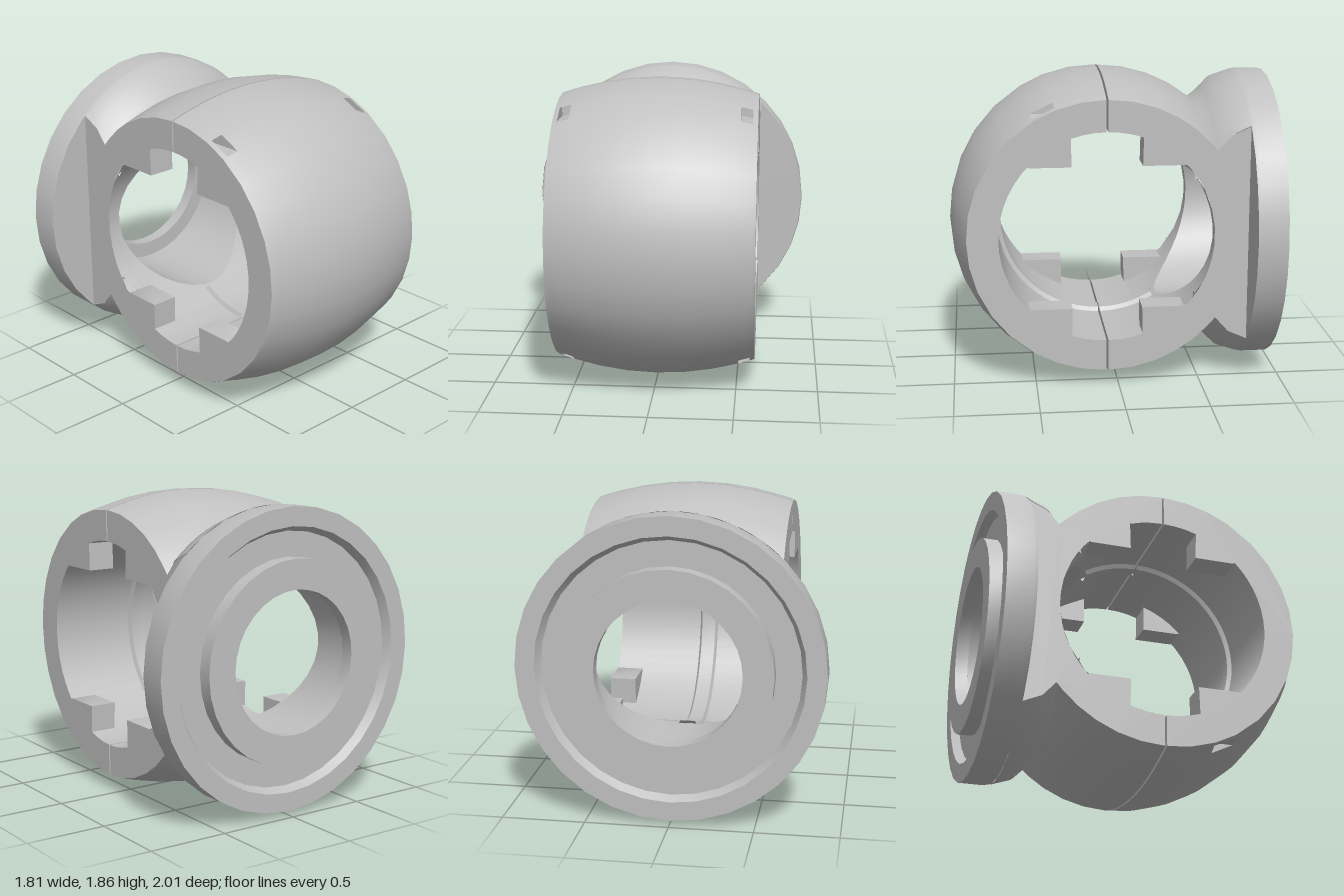
import * as THREE from 'three';
import { toCreasedNormals } from 'three/addons/utils/BufferGeometryUtils.js';

const HALF = 0.61;    // half width of the clamp along x
const BORE = 0.64;    // bore radius
const CHAMBER = 0.53; // radius of the hollow neck
const HOLE = 0.43;    // radius of the rear opening
const GAP = 0.006;    // half of the split between both clamp halves
const SEAT_Y = 0.6;   // half height of the rear seat patch
const LUG = 0.17;     // length of the lugs along x
const rad = THREE.MathUtils.degToRad;
const outerR = (x) => 0.93 - 0.1 * (x / HALF) ** 2;
const steps = (from, to, n) => Array.from({ length: n + 1 }, (_, i) => from + ((to - from) * i) / n);

// Surface over two lists of parameters; cells can be left open
function grid(us, vs, fn, skip = () => false) {
  const pos = [], idx = [], n = vs.length;
  us.forEach((u) => vs.forEach((v) => pos.push(...fn(u, v))));
  for (let i = 0; i < us.length - 1; i++) {
    for (let j = 0; j < n - 1; j++) {
      if (skip(us[i], us[i + 1], vs[j], vs[j + 1])) continue;
      const a = i * n + j, b = a + n;
      idx.push(a, b, a + 1, b, b + 1, a + 1);
    }
  }
  const g = new THREE.BufferGeometry();
  g.setAttribute('position', new THREE.Float32BufferAttribute(pos, 3));
  g.setIndex(idx);
  return g;
}

// Points (z, y) on an arc, angles in degrees
const arc = (r, from, to, n) =>
  steps(from, to, n).map((a) => [r * Math.cos(rad(a)), r * Math.sin(rad(a))]);
const toShape = (pts) => new THREE.Shape(pts.map(([z, y]) => new THREE.Vector2(z, y)));

export function createModel() {
  const grey = new THREE.MeshStandardMaterial({ color: 0xc0c0c0, side: THREE.DoubleSide });
  grey.name = 'light grey';
  const model = new THREE.Group();
  model.name = 'clampFitting';
  const body = new THREE.Group();
  body.name = 'body';
  body.position.set(0, 0.933, 0.07);
  model.add(body);
  const add = (name, geo, crease = 0.6) => {
    const mesh = new THREE.Mesh(toCreasedNormals(geo, crease), grey);
    mesh.name = name;
    body.add(mesh);
    return mesh;
  };

  const xs = [-HALF, -0.58, -0.51, -0.35, -0.18, 0, 0.18, 0.35, 0.51, 0.58, HALF];
  const shell = (side) => (a, x) => [
    x, outerR(x) * Math.sin(rad(a)), outerR(x) * Math.cos(rad(a)) + side * GAP,
  ];

  // Barrel-shaped outer shells, with four screw pockets at the front corners
  const quarter = [90, 80, 69, 59, 46, 34, 22, 11];
  const frontAngles = [...quarter, 0, ...quarter.map((a) => -a).reverse()];
  const isPocket = (a, b, x0, x1) =>
    Math.abs(a + b) === 128 && Math.abs(Math.abs(x0 + x1) - 1.09) < 0.01;
  add('frontShell', grid(frontAngles, xs, shell(1), isPocket));
  const rearAngles = [145, 138, 129, 120, 110, 100, 90];
  add('rearShellTop', grid(rearAngles, xs, shell(-1)));
  add('rearShellBottom', grid(rearAngles.map((a) => -a).reverse(), xs, shell(-1)));

  for (const sx of [-1, 1]) {
    for (const sy of [-1, 1]) {
      const rim = [[69, 0.51], [69, 0.58], [59, 0.58], [59, 0.51], [69, 0.51]]
        .map(([a, x]) => shell(1)(sy * a, sx * x));
      // Pocket walls, then a floor closing to the middle
      add('screwPocket', grid(rim, [0, 1, 2], ([x, y, z], v) =>
        v === 0 ? [x, y, z] : v === 1 ? [x, y, 0.22] : [sx * 0.545, sy * 0.76, 0.22]));
    }
  }

  // Round bore; the rear half leaves room for the seat patch
  const alongX = (list, side) => grid(list, side > 0 ? [HALF, -HALF] : [-HALF, HALF],
    ([z, y], x) => [x, y, side * (z + GAP)]);
  const seatAngle = THREE.MathUtils.radToDeg(Math.asin(SEAT_Y / BORE));
  const boreProfile = arc(BORE, 90, -90, 28);
  add('frontBore', alongX(boreProfile, 1));
  add('rearBoreTop', alongX(arc(BORE, 90, seatAngle, 4), -1));
  add('rearBoreBottom', alongX(arc(BORE, -seatAngle, -90, 4), -1));

  // Low rib around the middle of the bore
  const ribRows = [[0.06, BORE], [0.045, 0.615], [-0.045, 0.615], [-0.06, BORE]];
  const rib = (from, to, n, side) => add('boreRib', grid(steps(from, to, n), ribRows,
    (a, [x, r]) => [x, r * Math.sin(rad(a)), r * Math.cos(rad(a)) + side * GAP]), 0.4);
  rib(90, -90, 28, 1);
  rib(122, 90, 5, -1);
  rib(-90, -122, 5, -1);

  // Short stepped lugs at both ends of the bore
  const lugProfile = [[0.21, 0.435], [0.46, 0.435], ...arc(0.66, 43, 71, 5)];
  for (const sx of [-1, 1]) {
    for (const sy of [-1, 1]) {
      for (const sz of [-1, 1]) {
        const shape = toShape(lugProfile.map(([z, y]) => [sz * z, sy * y]));
        const geo = new THREE.ExtrudeGeometry(shape, { depth: LUG, bevelEnabled: false });
        add('lug', geo.rotateY(-Math.PI / 2)).position.x = sx > 0 ? HALF : LUG - HALF;
      }
    }
  }

  // Rear seat, opening into the hollow neck that narrows to the rear hole
  const c = Math.atan2(SEAT_Y, HALF);
  const breaks = [-c, c, Math.PI - c, Math.PI + c, 2 * Math.PI - c];
  const phis = [0, 1, 2, 3].flatMap((i) => steps(breaks[i], breaks[i + 1], 9).slice(i ? 1 : 0));
  add('rearSeat', grid(phis, [1, 0.66, 0.33, 0], (p, k) => {
    const cos = Math.cos(p), sin = Math.sin(p);
    const edge = Math.min(HALF / Math.abs(cos), SEAT_Y / Math.abs(sin));
    const r = CHAMBER + (edge - CHAMBER) * k;
    const y = r * sin;
    return [r * cos, y, -Math.sqrt(BORE ** 2 - y * y) - GAP];
  }));
  add('neckChamber', grid(phis, [0, 1, 2], (p, k) => {
    const r = k === 2 ? HOLE : CHAMBER;
    const y = r * Math.sin(p);
    return [r * Math.cos(p), y, k ? -0.99 : -Math.sqrt(BORE ** 2 - y * y) - GAP];
  }));

  // Flat end faces; the rear one runs on into the sides of the neck
  const rim = outerR(HALF);
  const onRim = (a) => [rim * Math.cos(rad(a)), rim * Math.sin(rad(a))];
  const rearTop = [...[90, 100, 110, 120, 129, 138].map(onRim),
    [-0.65, 0.516], [-0.73, 0.606], [-0.85, 0.66]];
  const rearOutline = [...rearTop, ...rearTop.map(([z, y]) => [z, -y]).reverse()];
  const boreBack = [...boreProfile].reverse();
  const outlines = {
    frontEndFace: [...frontAngles.map(onRim), ...boreBack].map(([z, y]) => [z + GAP, y]),
    rearEndFace: [...rearOutline, ...boreBack.map(([z, y]) => [-z, y])]
      .map(([z, y]) => [z - GAP, y]),
  };
  for (const [name, pts] of Object.entries(outlines)) {
    for (const sx of [-1, 1]) {
      const face = add(name, new THREE.ShapeGeometry(toShape(pts)).rotateY(-Math.PI / 2));
      face.position.x = sx * HALF;
    }
  }

  // Facing surfaces of the split
  for (const side of [-1, 1]) {
    for (const sy of [-1, 1]) {
      add('splitFace', grid(xs, [0, 1], (x, v) => [x, sy * (v ? outerR(x) : BORE), side * GAP]));
    }
  }

  // Flared neck, above and below, ending at the flat sides
  const neckRows = [[-0.45, 0.7], [-0.52, 0.735], [-0.58, 0.78], [-0.66, 0.86], [-0.78, 0.9]];
  for (const sy of [-1, 1]) {
    add('neck', grid(steps(sy, -sy, 20), neckRows, (t, [z, r]) => {
      const a = t * Math.asin(HALF / r);
      return [r * Math.sin(a), sy * r * Math.cos(a), z - 0.07];
    }));
  }

  // Round flange with a rear groove and a raised boss around the hole
  const flange = [[0.55, 0.78], [0.9, 0.78], [0.905, 0.8], [0.905, 0.96], [0.79, 0.96],
    [0.76, 0.91], [0.61, 0.91], [0.61, 1.0], [HOLE, 1.0], [HOLE, 0.92]]
    .map(([r, y]) => new THREE.Vector2(r, y));
  add('flange', new THREE.LatheGeometry(flange, 32).rotateX(-Math.PI / 2)).position.z = -0.07;

  return model;
}
